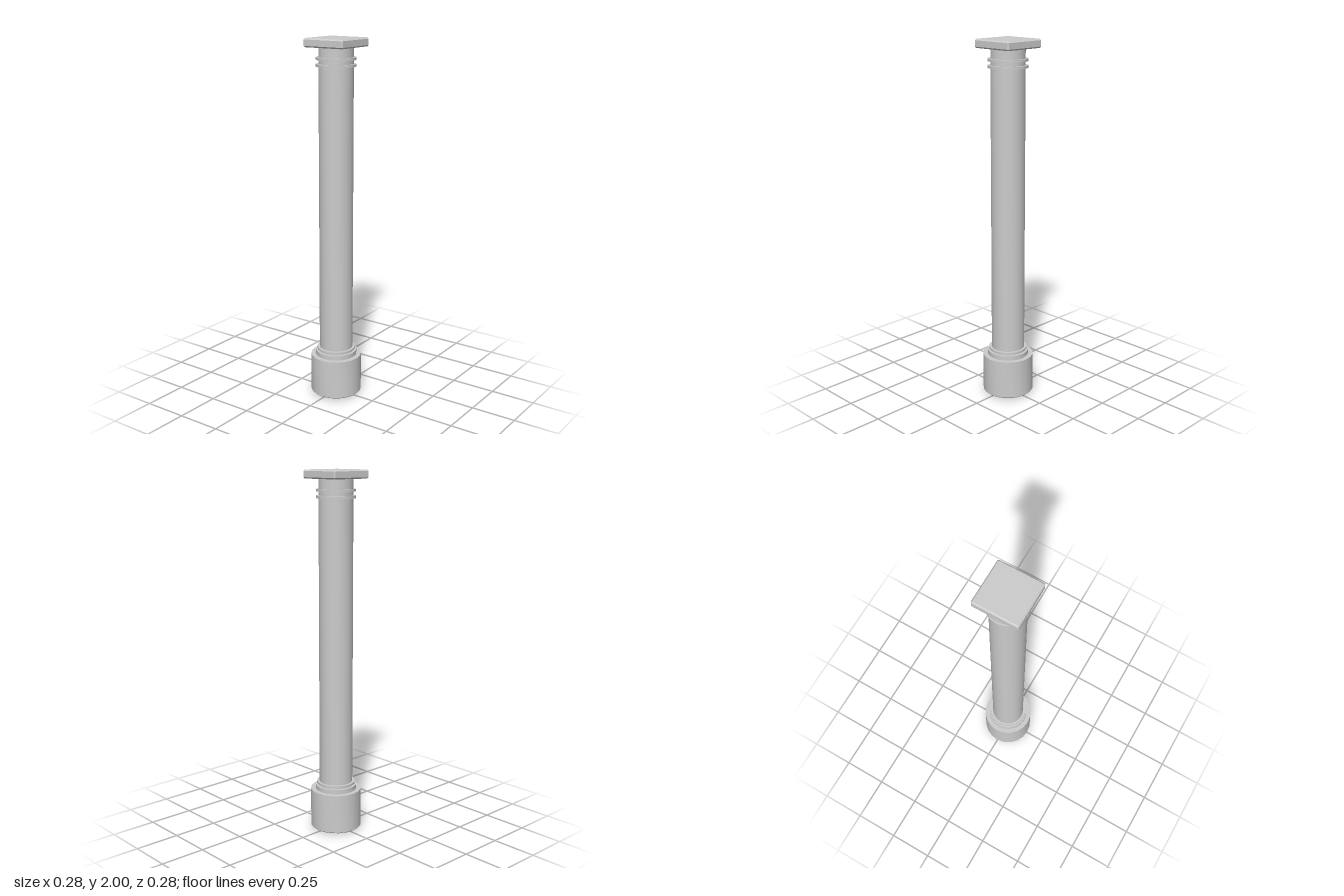
import * as THREE from 'three';
import { toCreasedNormals } from 'three/addons/utils/BufferGeometryUtils.js';
import { ConvexGeometry } from 'three/addons/geometries/ConvexGeometry.js';

const SIDES = 20;
const material = new THREE.MeshStandardMaterial({ color: 0xcccccc });

// Turned part from [radius, height] pairs, listed bottom to top
function turned(name, profile) {
  const points = profile.map(([r, y]) => new THREE.Vector2(r, y));
  const geometry = toCreasedNormals(new THREE.LatheGeometry(points, SIDES), 0.6);
  const mesh = new THREE.Mesh(geometry, material);
  mesh.name = name;
  return mesh;
}

// Box with every edge and corner chamfered
function chamferedBox(w, h, d, c) {
  const points = [];
  for (const sx of [-1, 1]) for (const sy of [-1, 1]) for (const sz of [-1, 1]) {
    for (let axis = 0; axis < 3; axis++) {
      const half = [w / 2, h / 2, d / 2].map((v, i) => (i === axis ? v : v - c));
      points.push(new THREE.Vector3(sx * half[0], sy * half[1], sz * half[2]));
    }
  }
  return new ConvexGeometry(points);
}

export function createModel() {
  const column = new THREE.Group();
  column.name = 'column';

  // Drum base with a very shallow pointed underside
  column.add(turned('base', [[0, 0], [0.137, 0.01], [0.142, 0.015], [0.142, 0.232], [0, 0.232]]));

  // Stepped moulding above the base
  column.add(turned('baseMoulding', [
    [0.115, 0.23], [0.115, 0.257], [0.1, 0.257], [0.1, 0.264],
    [0.107, 0.264], [0.107, 0.276], [0.09, 0.276],
  ]));

  // Plain shaft
  column.add(turned('shaft', [[0.093, 0.23], [0.093, 1.96]]));

  // Two thin rings under the cap
  for (const y of [1.852, 1.887]) {
    column.add(turned('neckRing', [
      [0.09, y], [0.107, y], [0.107, y + 0.014], [0.09, y + 0.014],
    ]));
  }

  // Square cap slab
  const cap = new THREE.Mesh(chamferedBox(0.248, 0.047, 0.248, 0.007), material);
  cap.name = 'cap';
  cap.position.y = 1.9765;
  column.add(cap);

  return column;
}
